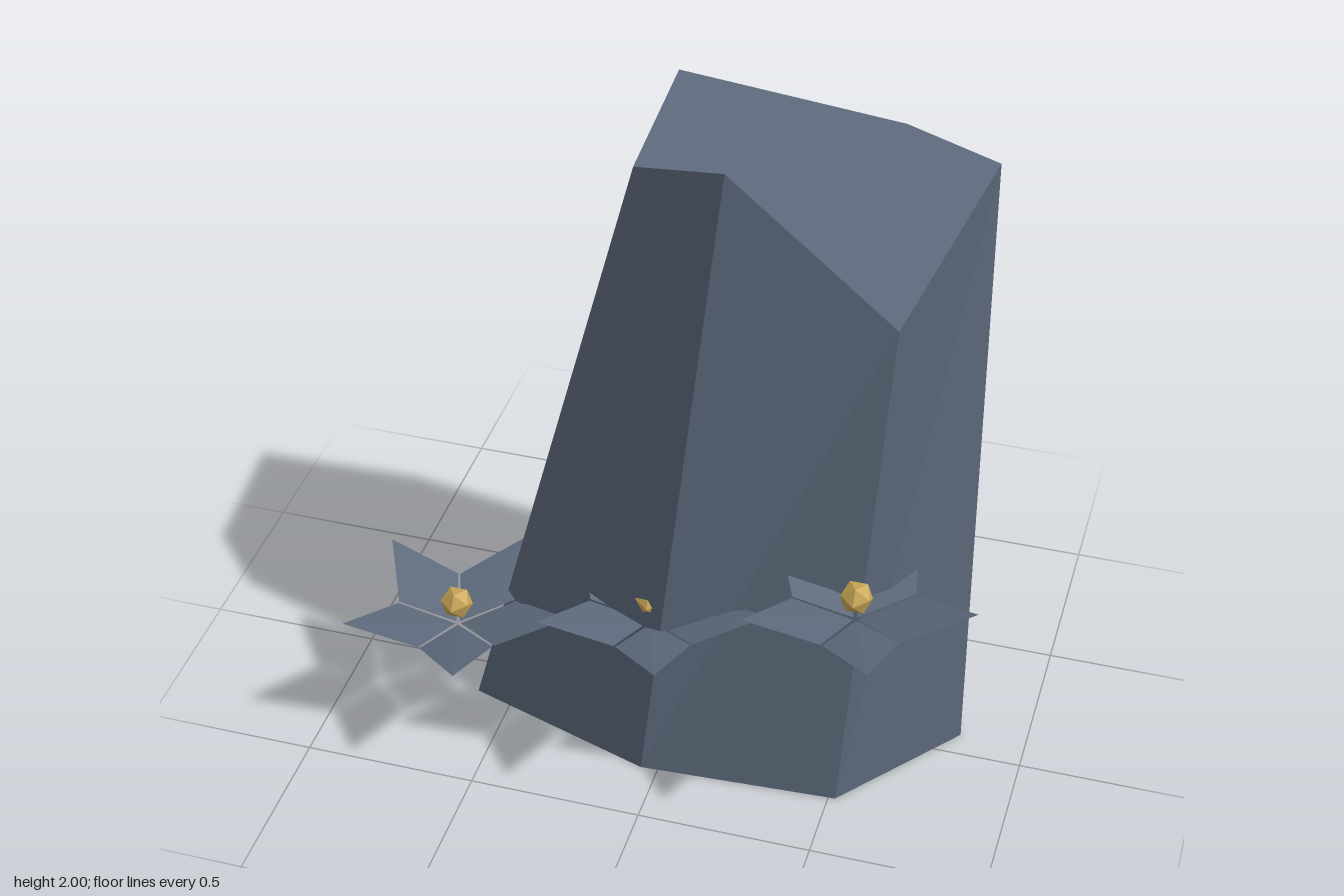
import * as THREE from 'three';

const slate = new THREE.MeshStandardMaterial({ color: 0x5c687a, side: THREE.DoubleSide });
slate.name = 'slate';
const gold = new THREE.MeshStandardMaterial({ color: 0xc8a555 });
gold.name = 'gold';

// Unindexed geometry from a list of triangles, each an array of three points
function fromTriangles(triangles) {
  const geo = new THREE.BufferGeometry();
  geo.setAttribute('position', new THREE.Float32BufferAttribute(triangles.flat(2), 3));
  geo.computeVertexNormals();
  return geo;
}

function named(name, geo, material) {
  const mesh = new THREE.Mesh(geo, material);
  mesh.name = name;
  return mesh;
}

// Seven-sided leaning rock: matching rings, running from the front towards the model's left
const base = [[-0.05, 0, 0.31], [0.52, 0, 0.28], [0.81, 0, -0.08], [0.54, 0, -0.54],
  [-0.03, 0, -0.565], [-0.56, 0, -0.36], [-0.61, 0, 0.13]];
const crown = [[0.165, 2, 0.24], [0.585, 1.47, 0.035], [0.79, 1.91, -0.145], [0.5, 1.86, -0.355],
  [0.19, 1.65, -0.475], [-0.14, 1.895, -0.405], [-0.14, 1.84, 0.02]];

function createRock() {
  const rock = new THREE.Group();
  rock.name = 'rock';
  const sides = [], bottom = [];
  base.forEach((b, i) => {
    const j = (i + 1) % base.length;
    sides.push([b, base[j], crown[j]], [b, crown[j], crown[i]]);
    if (i > 0 && j > 0) bottom.push([base[0], base[j], b]);
  });

  // Broken top, shaded as one facet
  const top = [[0, 1, 3], [1, 2, 3], [0, 3, 5], [3, 4, 5], [0, 5, 6]];
  const topGeo = fromTriangles(top.map(t => t.map(i => crown[i])));
  const normal = new THREE.Vector3();
  crown.forEach((p, i) => {
    const a = new THREE.Vector3(...p), b = new THREE.Vector3(...crown[(i + 1) % crown.length]);
    normal.add(a.cross(b));
  });
  normal.normalize();
  const normals = topGeo.attributes.normal;
  for (let i = 0; i < normals.count; i++) normals.setXYZ(i, normal.x, normal.y, normal.z);

  rock.add(named('rockSides', fromTriangles(sides), slate),
    named('rockBottom', fromTriangles(bottom), slate),
    named('rockTop', topGeo, slate));
  return rock;
}

// Folded kite petal pointing along +x
const heart = [0.008, 0, 0], tip = [0.335, 0.095, 0];
const sideA = [0.147, 0.035, 0.103], sideB = [0.147, 0.035, -0.103];
const petalGeo = fromTriangles([[heart, sideA, tip], [heart, tip, sideB]]);

const budGeo = new THREE.IcosahedronGeometry(0.048, 0);
budGeo.rotateX(-0.5536);

function createFlower(x, y, z) {
  const flower = new THREE.Group();
  flower.name = 'flower';
  for (let i = 0; i < 5; i++) {
    const petal = named('petal', petalGeo, slate);
    petal.rotation.y = i * Math.PI * 2 / 5;
    flower.add(petal);
  }
  const bud = named('flowerCentre', budGeo, gold);
  bud.position.y = 0.078;
  flower.add(bud);
  flower.position.set(x, y, z);
  return flower;
}

export function createModel() {
  const model = new THREE.Group();
  model.name = 'floweringRock';
  model.add(createRock());
  // Three flowers climbing across the front
  for (let i = 0; i < 3; i++) model.add(createFlower(-0.617 + i * 0.582, 0.355 + i * 0.146, 0.24));
  return model;
}
